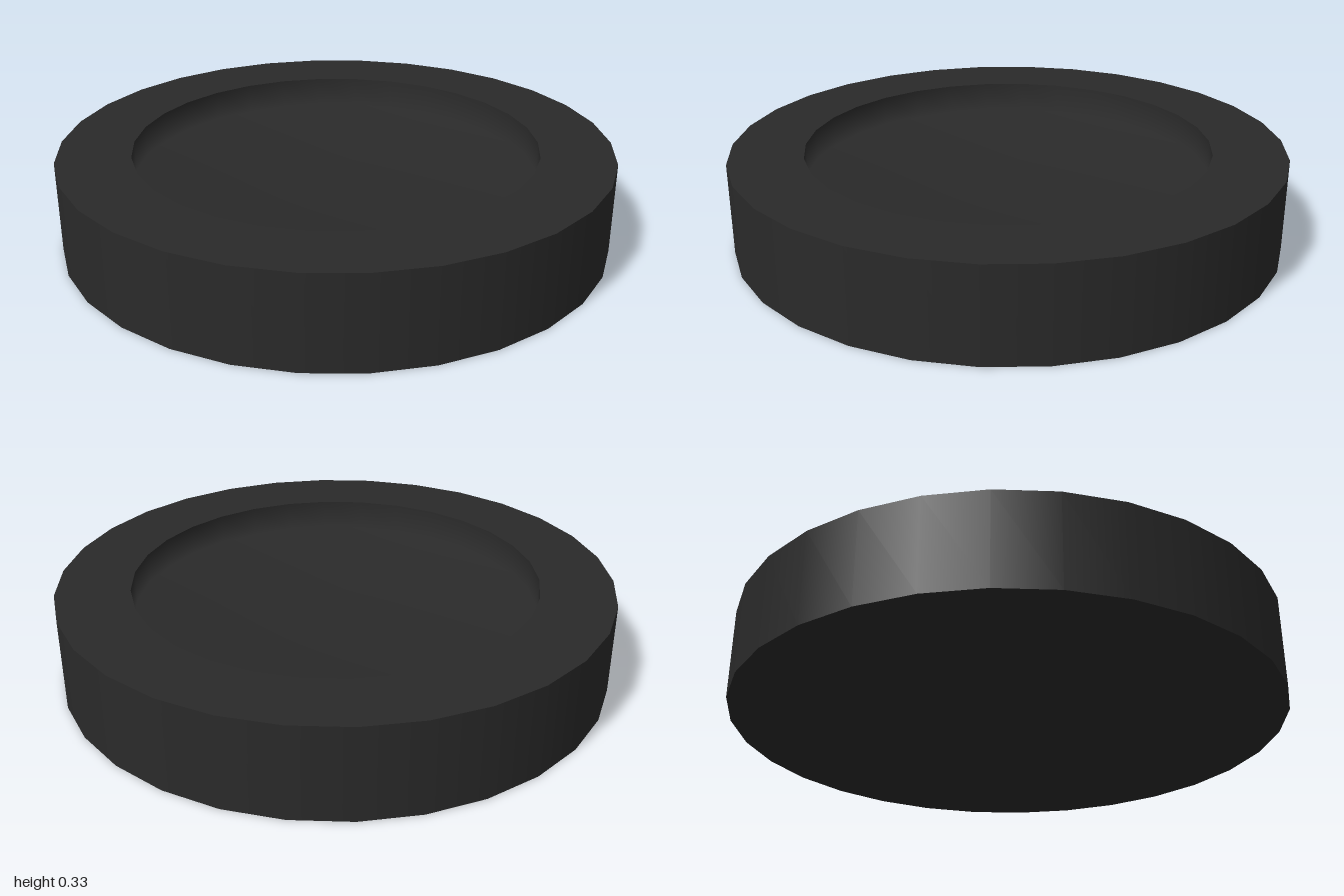
import * as THREE from 'three';

const SIDES = 30;
const HEIGHT = 0.333;
const FLOOR = 0.22;
const OUTER = 1;
const INNER = 0.735;

export function createModel() {
  const model = new THREE.Group();
  model.name = 'recessedDisc';
  const material = new THREE.MeshStandardMaterial({ color: 0x2a2a2a });

  // Revolve a short [radius, height] profile; each piece has its own sharp borders
  const addRevolved = (name, profile) => {
    const points = profile.map(([r, y]) => new THREE.Vector2(r, y));
    const mesh = new THREE.Mesh(new THREE.LatheGeometry(points, SIDES, Math.PI / 2), material);
    mesh.name = name;
    model.add(mesh);
  };

  addRevolved('base', [[0, 0], [OUTER, 0]]);
  addRevolved('outerWall', [[OUTER, 0], [OUTER, HEIGHT]]);
  addRevolved('rim', [[OUTER, HEIGHT], [INNER, HEIGHT]]);
  // Wall and floor of the recess share a smooth corner, giving a dished look
  addRevolved('recess', [[INNER, HEIGHT], [INNER, FLOOR], [0, FLOOR]]);

  return model;
}
